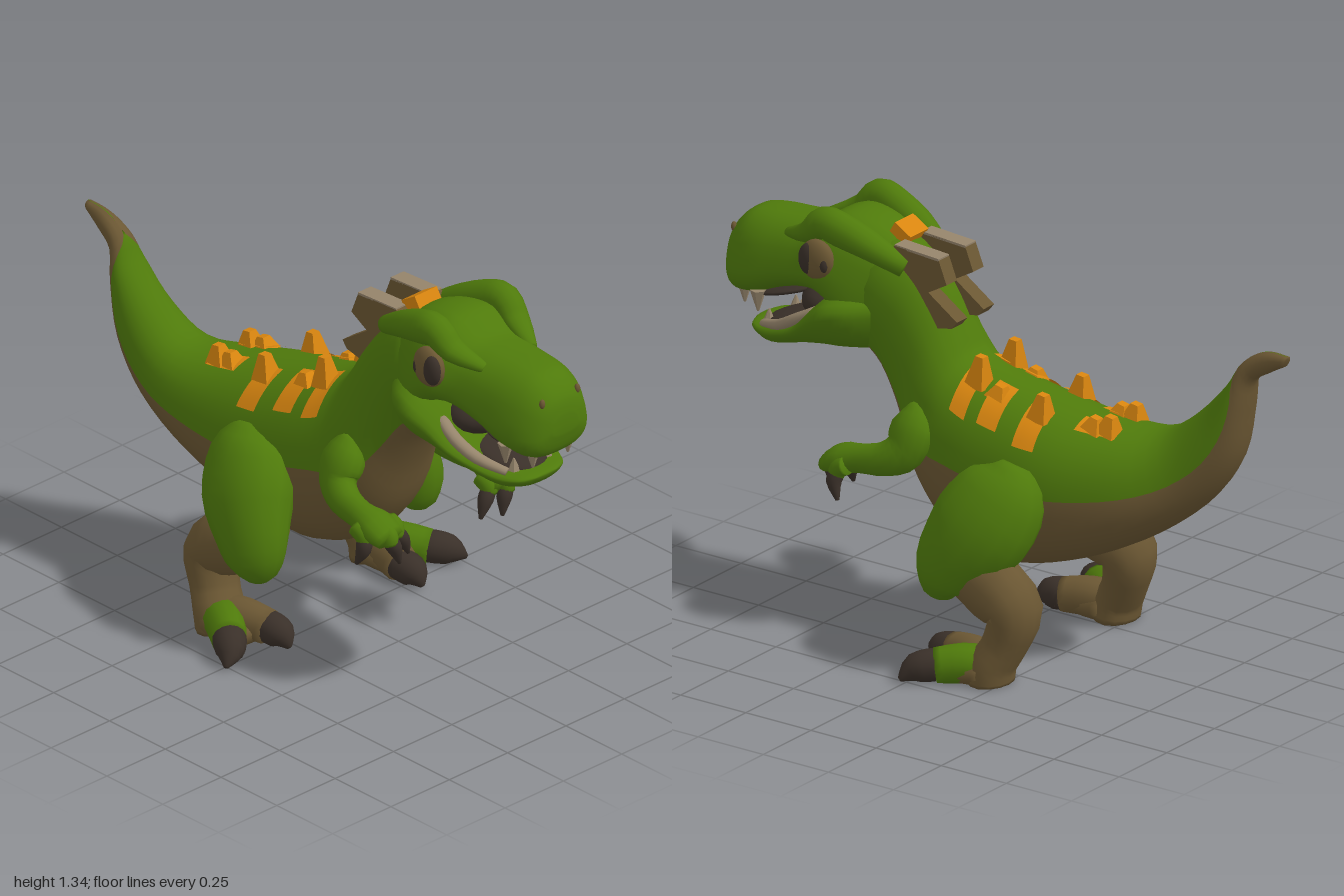
import * as THREE from 'three';

const mat = (name, color) => {
  const m = new THREE.MeshStandardMaterial({ color });
  m.name = name;
  return m;
};

// Catmull-Rom interpolation of every column of a table of sections
function sample(rows, u) {
  const last = rows.length - 1, i = Math.min(Math.floor(u), last - 1), f = u - i;
  const at = k => rows[Math.max(0, Math.min(last, k))];
  const [a, b, c, d] = [at(i - 1), at(i), at(i + 1), at(i + 2)];
  return b.map((_, k) => b[k] + 0.5 * f * (c[k] - a[k] + f * (2 * a[k] - 5 * b[k] + 4 * c[k] - d[k]
    + f * (3 * (b[k] - c[k]) + d[k] - a[k]))));
}

// Skin closed rings; group 0 is the first half of each ring, group 1 the rest
function skin(rings) {
  const n = rings[0].length, pos = [], first = [], second = [];
  rings.forEach(r => r.forEach(p => pos.push(p.x, p.y, p.z)));
  for (let i = 0; i < rings.length - 1; i++) for (let j = 0; j < n; j++) {
    const k = (j + 1) % n, a = i * n + j, b = i * n + k;
    (j < n / 2 ? first : second).push(a, b, a + n, b, b + n, a + n);
  }
  [0, rings.length - 1].forEach((i, end) => {
    const c = new THREE.Vector3();
    rings[i].forEach(p => c.addScaledVector(p, 1 / n));
    const ci = pos.length / 3;
    pos.push(c.x, c.y, c.z);
    for (let j = 0; j < n; j++) {
      const a = i * n + j, b = i * n + (j + 1) % n;
      second.push(...(end ? [a, b, ci] : [b, a, ci]));
    }
  });
  const g = new THREE.BufferGeometry();
  g.setAttribute('position', new THREE.Float32BufferAttribute(pos, 3));
  g.setIndex([...first, ...second]);
  g.addGroup(0, first.length, 0);
  g.addGroup(first.length, second.length, 1);
  g.computeVertexNormals();
  return g;
}

const pw = (v, e) => Math.sign(v) * Math.abs(v) ** e;

// Section row: top x, top y, bottom x, bottom y, half width, centre z, seam angle
function sectionPoint([tx, ty, bx, by, w, zc], a, e, taper, grow = 1) {
  const c = pw(Math.cos(a), e) * grow, s = pw(Math.sin(a), e) * grow;
  return new THREE.Vector3((tx + bx) / 2 + (tx - bx) / 2 * c, (ty + by) / 2 + (ty - by) / 2 * c,
    zc + w * s * (1 - taper * c));
}

function loft(rows, e, taper, sub = 4, n = 28) {
  const rings = [];
  for (let i = 0; i <= (rows.length - 1) * sub; i++) {
    const r = sample(rows, i / sub), t = r[6] ?? Math.PI / 2, h = n / 2, ring = [];
    for (let j = 0; j < n; j++) {
      const a = j < h ? -t + 2 * t * j / h : t + (2 * Math.PI - 2 * t) * (j - h) / h;
      ring.push(sectionPoint(r, a, e, taper));
    }
    rings.push(ring);
  }
  return skin(rings);
}

// Limb row: x, y, z, radius in the side plane, radius across
function limb(rows, side = 1, sub = 3, n = 14) {
  const rings = [], end = rows.length - 1;
  const at = u => { const r = sample(rows, u); return new THREE.Vector3(r[0], r[1], r[2] * side); };
  for (let i = 0; i <= end * sub; i++) {
    const u = i / sub, r = sample(rows, u), c = at(u);
    const T = at(Math.min(end, u + 0.1)).sub(at(Math.max(0, u - 0.1))).normalize();
    const S = new THREE.Vector3(0, 0, 1).addScaledVector(T, -T.z).normalize();
    const U = S.clone().cross(T);
    rings.push(Array.from({ length: n }, (_, j) => {
      const a = j / n * Math.PI * 2;
      const p = c.clone().addScaledVector(U, r[3] * Math.cos(a)).addScaledVector(S, r[4] * Math.sin(a));
      p.y = Math.max(0, p.y);
      return p;
    }));
  }
  return skin(rings);
}

export function createModel() {
  const model = new THREE.Group();
  const green = mat('skinGreen', 0x4f7a0b), brown = mat('bellyBrown', 0x6b5733);
  const orange = mat('stripeOrange', 0xd8850f), dark = mat('clawDark', 0x3a3029);
  const bone = mat('boneTan', 0x95846b);
  orange.side = THREE.DoubleSide;

  const add = (name, geo, m) => {
    const mesh = new THREE.Mesh(geo, m);
    mesh.name = name;
    model.add(mesh);
    return mesh;
  };
  const ball = (name, m, p, s, tilt = 0) => {
    const mesh = add(name, new THREE.SphereGeometry(1, 20, 14), m);
    mesh.position.set(...p);
    mesh.scale.set(...s);
    mesh.rotation.z = tilt;
  };
  const box = (name, m, p, s, tilt) => {
    const mesh = add(name, new THREE.BoxGeometry(...s), m);
    mesh.position.set(...p);
    mesh.rotation.z = tilt;
  };
  const spike = (name, m, base, tip, r, blunt, sides) => {
    const b = new THREE.Vector3(...base), d = new THREE.Vector3(...tip).sub(b), len = d.length();
    const g = new THREE.CylinderGeometry(r * blunt, r, len, sides).rotateY(Math.PI / 4).toNonIndexed();
    g.computeVertexNormals();
    const mesh = add(name, g, m);
    mesh.position.copy(b).addScaledVector(d, 0.5);
    mesh.quaternion.setFromUnitVectors(new THREE.Vector3(0, 1, 0), d.normalize());
  };

  // Tail, torso and neck with a brown underside
  const body = [
    [-1, 1.115, -.99, 1.08, .018, .135, .05], [-.91, 1.11, -.93, 1.045, .03, .14, .05],
    [-.83, 1.06, -.87, 1.0, .045, .14, .1], [-.78, .98, -.85, .9, .07, .14, 1.7],
    [-.68, .87, -.81, .72, .1, .135, 1.9], [-.57, .79, -.69, .55, .135, .115, 1.75],
    [-.44, .785, -.5, .41, .19, .065, 1.6], [-.25, .82, -.28, .315, .23, .025, 1.55],
    [-.05, .865, -.06, .27, .23, .01, 1.5], [.08, .91, .12, .33, .21, 0, 1.57],
    [.13, .98, .26, .48, .185, 0, 1.85], [.19, 1.09, .33, .66, .16, 0, 2.15],
    [.27, 1.19, .4, .8, .155, 0, 2.3], [.38, 1.25, .48, .88, .16, 0, 2.4],
    [.5, 1.2, .55, .95, .12, 0, 2.4]];
  add('body', loft(body, .92, 0), [green, brown]);

  // Skull with snout, and lower jaw with wide hinge
  add('skull', loft([
    [.3, 1.17, .42, .95, .12, 0], [.38, 1.25, .45, .94, .16, 0], [.47, 1.29, .5, .96, .185, 0],
    [.57, 1.295, .57, 1.02, .19, 0], [.66, 1.245, .65, 1.03, .165, 0], [.75, 1.235, .76, 1.005, .158, 0],
    [.86, 1.23, .86, .965, .155, 0], [.93, 1.215, .94, .95, .135, 0], [.985, 1.16, .98, .975, .1, 0],
    [1, 1.1, 1, 1.04, .05, 0]], .75, .22), green);
  add('lowerJaw', loft([
    [.36, 1.07, .38, .9, .13, 0], [.45, 1.085, .44, .87, .205, 0], [.53, 1.07, .52, .858, .23, 0],
    [.6, 1.015, .59, .85, .21, 0], [.67, .94, .67, .84, .185, 0], [.75, .9, .75, .815, .155, 0],
    [.83, .875, .82, .8, .125, 0], [.89, .867, .885, .82, .09, 0], [.915, .86, .91, .845, .035, 0]],
  .8, -.25), green);
  ball('throat', dark, [.63, .98, 0], [.1, .07, .13]);
  ball('mouthFloor', dark, [.75, .895, 0], [.13, .02, .11], -.25);
  ball('mouthRoof', dark, [.79, .985, 0], [.14, .018, .12], -.27);

  // Orange plate on the crown
  box('crownPlate', orange, [.365, 1.255, .01], [.07, .05, .095], .55);

  // Strip of the torso surface, lifted slightly
  const patch = (u0, u1, a0, a1) => {
    const g = new THREE.PlaneGeometry(1, 1, 4, 6), p = g.attributes.position;
    for (let i = 0; i < p.count; i++) {
      const u = u0 + (u1 - u0) * (p.getX(i) + .5), a = a0 + (a1 - a0) * (p.getY(i) + .5);
      const v = sectionPoint(sample(body, u), a, .92, 0, 1.025);
      p.setXYZ(i, v.x, v.y, v.z);
    }
    g.computeVertexNormals();
    add('backStripe', g, orange);
  };

  // Side profile shared by both neck crests
  const crest = new THREE.Shape([[.4, 1.2], [.34, 1.245], [.17, 1.235], [.14, 1.16], [.21, 1.12], [.1, 1.045],
    [.12, 1.02], [.22, 1.0], [.34, 1.05]].map(p => new THREE.Vector2(...p)));

  for (const s of [1, -1]) {
    // Brow ridge, eye and nostril
    add('brow', limb([[.3, 1.18, .1, .03, .03], [.41, 1.235, .125, .045, .05], [.51, 1.27, .14, .055, .052],
      [.575, 1.282, .145, .052, .05], [.64, 1.235, .135, .035, .045], [.74, 1.2, .1, .015, .02]], s), green);
    ball('eye', brown, [.575, 1.17, s * .18], [.062, .068, .034]);
    ball('pupil', dark, [.6, 1.172, s * .192], [.036, .052, .024]);
    ball('eyeCorner', dark, [.54, 1.165, s * .19], [.018, .03, .02]);
    ball('nostril', brown, [.972, 1.155, s * .075], [.009, .016, .01]);

    // Gums and teeth
    add('gum', limb([[.6, .985, .15, .015, .02], [.67, .945, .16, .018, .022], [.75, .9, .14, .018, .02],
      [.84, .873, .1, .012, .015]], s), bone);
    for (const [x, z] of [[.93, .075], [.85, .115]])
      spike('upperTooth', bone, [x, .985, s * z], [x, .915, s * z], .026, .15, 6);
    spike('lowerTooth', bone, [.84, .87, s * .07], [.84, .91, s * .07], .02, .15, 6);

    // Neck crest with pale upper faces
    const ridge = add('neckCrest', new THREE.ExtrudeGeometry(crest, { depth: .055, bevelEnabled: false }), brown);
    ridge.position.z = s * .07 - .0275;
    box('crestTop', bone, [.255, 1.241, s * .07], [.17, .008, .055], .059);

    // Orange stripes and blunt back spikes
    patch(7.72, 8.12, s * .22, s * .9);
    patch(8.4, 8.85, s * .2, s * .95);
    patch(7.05, 7.4, s * .3, s * .98);
    patch(6.0, 6.6, s * .17, s * .5);
    for (const [u, a, h] of [[8.5, .4, .1], [7.2, .45, .085], [6.15, .33, .06], [6.4, .33, .045], [8, .4, .04]]) {
      const p = sectionPoint(sample(body, u), s * a, .92, 0, .95);
      spike('backSpike', orange, p.toArray(), [p.x - .01, p.y + h, p.z], .05, .4, 4);
    }

    // Thigh, shin and heel
    add('thigh', limb([[-.2, .67, .19, .05, .05], [-.185, .6, .22, .14, .11], [-.13, .48, .28, .17, .13],
      [-.06, .37, .33, .13, .105], [-.03, .285, .34, .085, .08], [-.03, .24, .34, .03, .03]], s), green);
    add('shin', limb([[-.02, .4, .27, .05, .06], [-.1, .335, .28, .1, .1], [-.2, .29, .3, .11, .1],
      [-.27, .235, .3, .085, .1], [-.245, .13, .315, .07, .085], [-.21, .06, .33, .07, .09],
      [-.2, .002, .33, .07, .09]], s), brown);

    // Toes and their claws
    const toes = [['innerToe', brown, -.03, .285, .06, .285], ['outerToe', green, -.06, .43, .015, .515]];
    for (const [name, m, x, z, tx, tz] of toes) {
      add(name, limb([[-.2, .05, .33, .06, .07], [(x - .2) / 2, .055, (z + .33) / 2, .064, .065],
        [x, .045, z, .06, .055]], s), m);
      add('toeClaw', limb([[x - .03, .045, z - .01, .045, .045], [x, .05, z, .052, .054],
        [(x + tx) / 2 + .01, .04, (z + tz) / 2, .047, .046], [tx, .01, tz, .008, .008]], s), dark);
    }
    add('footWeb', limb([[-.2, .04, .33, .06, .09], [-.1, .035, .345, .05, .1], [-.05, .02, .35, .02, .07]], s), brown);

    // Arm, hand and fingers
    add('arm', limb([[.2, .75, .14, .035, .05], [.2, .7, .185, .075, .065], [.21, .635, .22, .068, .055],
      [.265, .6, .245, .056, .05], [.35, .587, .26, .047, .045], [.42, .57, .255, .048, .065],
      [.475, .545, .25, .03, .055]], s), green);
    for (const [x, z, tx, tz] of [[.405, .3, .395, .32], [.465, .25, .485, .22], [.44, .2, .455, .155]]) {
      add('finger', limb([[x - .03, .57, z, .03, .03], [x, .555, z, .032, .03], [x + .01, .525, z, .024, .024]], s), green);
      add('fingerClaw', limb([[x + .005, .54, z, .024, .024], [x + .012, .51, (z + tz) / 2, .026, .024],
        [tx, .455, tz, .006, .006]], s), dark);
    }
  }
  return model;
}
